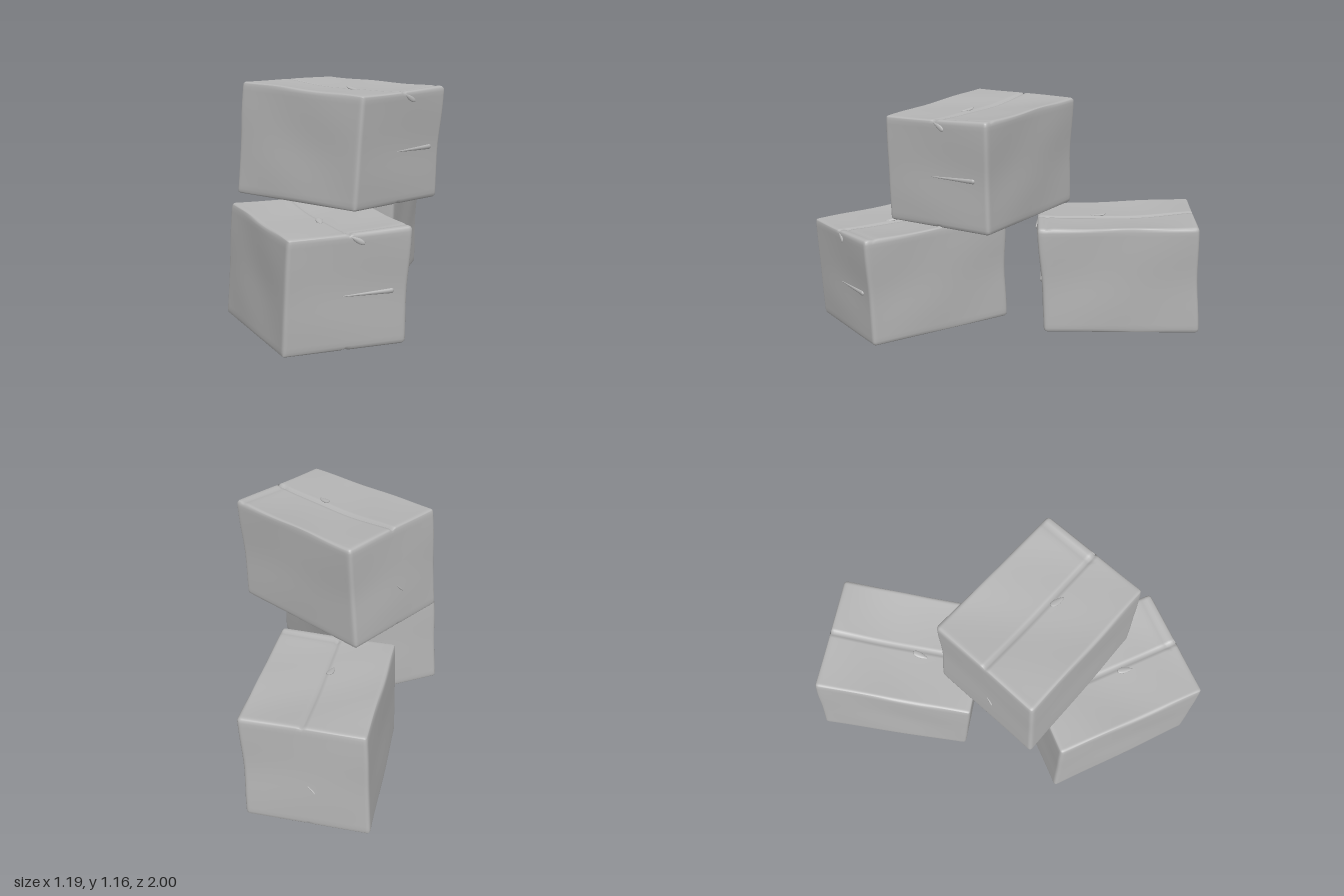
import * as THREE from 'three';
import { mergeVertices } from 'three/addons/utils/BufferGeometryUtils.js';

const W = 0.605, H = 0.57, L = 0.815, R = 0.02; // carton size and edge radius

const cardboard = new THREE.MeshStandardMaterial({ color: 0xb4b4b4, side: THREE.DoubleSide });
cardboard.name = 'cardboard grey';

const bump = (v, width) => Math.exp(-((v / width) ** 2));

// Worn carton distortion: wider back, slight lean, pinched waist, lower front
function warp(p) {
  const h = p.y / H, t = p.z / L + 0.5;
  const pinch = 1 - 0.01 * bump(h - 0.5, 0.22);
  const x = p.x * (1.02 - 0.028 * t) * pinch + (0.028 - 0.014 * t) * (h - 0.5);
  const z = p.z * pinch + 0.036 * p.x * (1 - t) + (0.022 + 0.016 * t) * (h - 0.5) - 0.006 * t;
  const y = p.y + h * (-0.026 * t + 0.02 * t * p.x / W);
  return p.set(x, y, z);
}

// Applies a rule to every vertex, then smooths the surface
function reshape(geometry, rule) {
  geometry.deleteAttribute('uv');
  geometry.deleteAttribute('normal');
  const g = mergeVertices(geometry, 1e-5);
  const pos = g.attributes.position, p = new THREE.Vector3();
  for (let i = 0; i < pos.count; i++) {
    p.fromBufferAttribute(pos, i);
    rule(p);
    pos.setXYZ(i, p.x, p.y, p.z);
  }
  g.computeVertexNormals();
  return g;
}

// Carton body: rounded box with flap seams and creases
function bodyGeometry() {
  const half = new THREE.Vector3(W / 2, H / 2, L / 2);
  const inner = half.clone().subScalar(R);
  const innerMin = inner.clone().negate();
  const core = new THREE.Vector3();
  const crowd = (v, s) => { const u = v / s; return s * u * (1.4 - 0.4 * u * u); };
  return reshape(new THREE.BoxGeometry(W, H, L, 64, 20, 40), p => {
    p.set(crowd(p.x, half.x), crowd(p.y, half.y), crowd(p.z, half.z));
    const top = p.y > half.y - 1e-4, bottom = p.y < -half.y + 1e-4;
    // round the edges
    core.copy(p).clamp(innerMin, inner);
    p.sub(core);
    if (p.lengthSq() > 0) p.setLength(R);
    p.add(core);
    const { x, z } = p;
    const room = Math.max(0, (1 - (x / half.x) ** 2) * (1 - (z / half.z) ** 2));
    if (top) {
      // sagging lid, centre seam with one flap lower, and front fold
      p.y -= 0.017 * room + 0.013 * bump(x, 0.006) + (x > 0 ? 0.005 * room : 0);
      if (x > -0.02) p.y -= 0.006 * bump(z - 0.355, 0.01);
      p.y += 0.002 * Math.sin(9 * x + 14 * z);
    } else if (bottom) {
      p.y += 0.014 * bump(x, 0.008);
    } else {
      // soft dents along the walls
      const dent = 0.002 * Math.sin(11 * p.y + 7 * x + 9 * z);
      if (Math.abs(x) > inner.x) p.x += dent * Math.sign(x);
      if (Math.abs(z) > inner.z) p.z += dent * Math.sign(z);
    }
    p.y += half.y;
    warp(p);
  });
}

// Raised torn strip on the front wall, thickest at its right-hand end
function stripGeometry() {
  const g = new THREE.CapsuleGeometry(0.013, 0.23, 6, 12, 12).rotateZ(Math.PI / 2);
  return reshape(g, p => {
    const taper = 0.2 + 0.8 * THREE.MathUtils.clamp((p.x + 0.128) / 0.256, 0, 1);
    p.set(p.x + 0.1, p.y * taper + 0.27, p.z * taper * 0.7 + L / 2);
    warp(p);
  });
}

// Small curled tear: a bent leaf with a tapered outline
function tearGeometry(length, width) {
  const leaf = new THREE.SphereGeometry(1, 14, 10);
  return reshape(leaf, p => {
    const s = (p.x + 1) / 2;
    p.set(p.x * length / 2, p.y * width / 2 * (0.45 + 0.55 * s), p.z * 0.007 + 0.012 * s * s);
  });
}

const geometries = {
  body: bodyGeometry,
  strip: stripGeometry,
  frontTear: () => tearGeometry(0.075, 0.032)
    .rotateZ(-0.5).translate(0.035, 0.512, L / 2 + 0.008),
  lidTear: () => tearGeometry(0.085, 0.042)
    .rotateX(-Math.PI / 2).rotateY(1.35).translate(-0.02, 0.539, 0.1),
  backScuff: () => tearGeometry(0.07, 0.012)
    .rotateY(Math.PI).rotateZ(0.8).translate(-0.03, 0.22, -L / 2 + 0.004),
};

export function createModel() {
  const group = new THREE.Group();
  group.name = 'stackedCartons';
  const shared = Object.entries(geometries).map(([name, make]) => [name, make()]);

  // position and turn of each carton
  const cartons = [
    ['backCarton', 0.162, 0.008, -0.488, -0.37],
    ['frontCarton', -0.185, 0.008, 0.535, 0.24],
    ['topCarton', -0.016, 0.597, 0.198, 0.66],
  ];
  for (const [name, x, y, z, turn] of cartons) {
    const carton = new THREE.Group();
    carton.name = name;
    for (const [part, geometry] of shared) {
      const mesh = new THREE.Mesh(geometry, cardboard);
      mesh.name = part;
      carton.add(mesh);
    }
    carton.position.set(x, y, z);
    carton.rotation.y = turn;
    group.add(carton);
  }
  return group;
}
